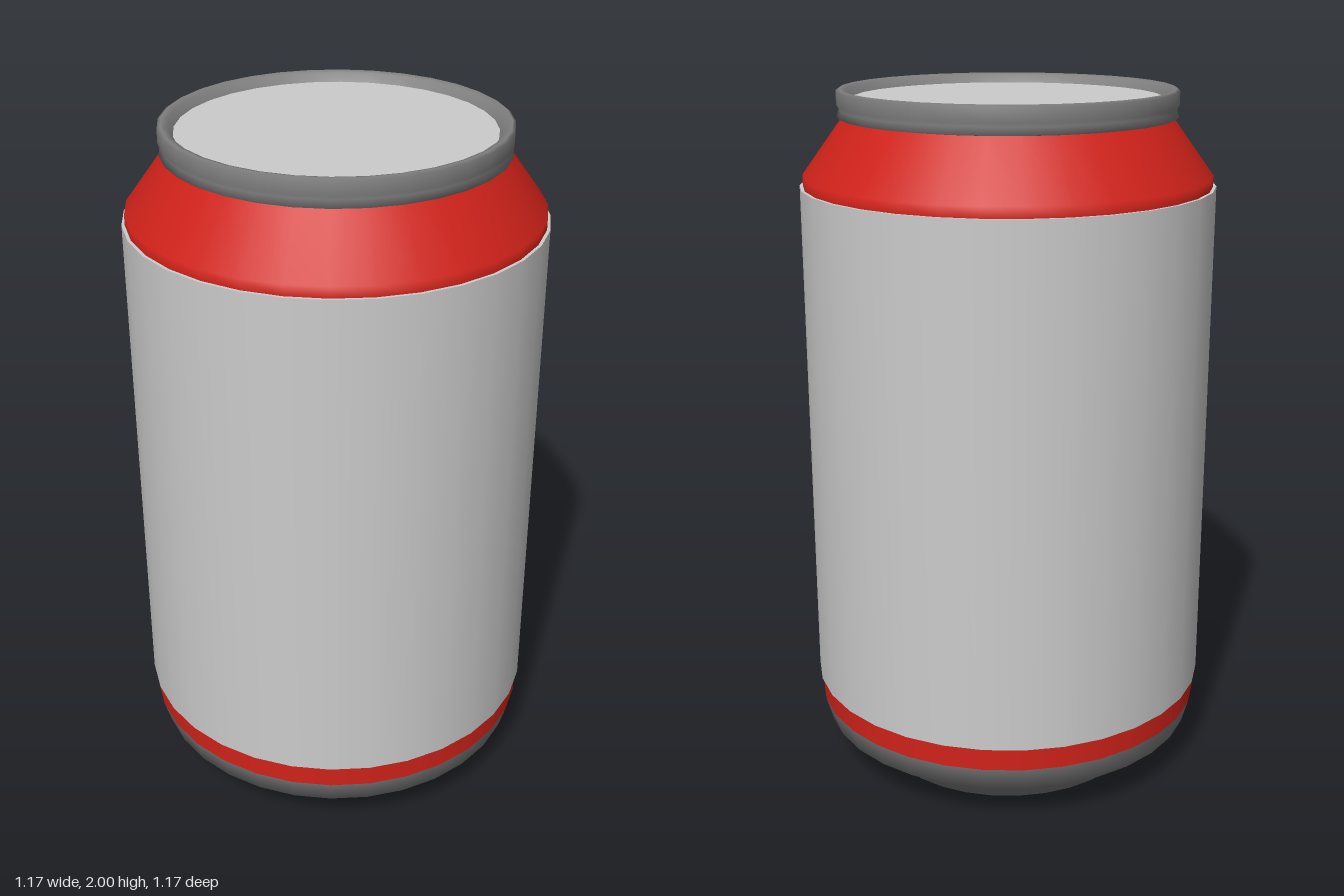
import * as THREE from 'three';

const SIDES = 32;

// Revolves a [radius, height] profile, listed from bottom to top, around y.
function turned(name, profile, color) {
  const points = profile.map(([r, y]) => new THREE.Vector2(r, y));
  const mesh = new THREE.Mesh(
    new THREE.LatheGeometry(points, SIDES),
    new THREE.MeshStandardMaterial({ color, side: THREE.DoubleSide })
  );
  mesh.name = name;
  return mesh;
}

export function createModel() {
  const can = new THREE.Group();
  can.name = 'drinkCan';
  const metal = 0x808080, red = 0xd0221a, grey = 0xcccccc;

  can.add(
    // stepped foot with closed underside
    turned('base', [[0, 0], [0.4, 0], [0.445, 0.06], [0.555, 0.12], [0.575, 0.19]], metal),
    turned('lowerBand', [[0.575, 0.19], [0.575, 0.258]], red),
    // label wrap, slightly proud of the can wall
    turned('labelWrap', [[0.584, 0.258], [0.584, 1.735]], grey),
    turned('labelLowerEdge', [[0.574, 0.258], [0.584, 0.258]], grey),
    turned('labelUpperEdge', [[0.584, 1.735], [0.574, 1.735]], grey),
    // short upright band and tapering neck
    turned('shoulder', [[0.575, 1.735], [0.575, 1.765], [0.46, 1.922]], red),
    // rolled rim
    turned('rim', [[0.455, 1.922], [0.474, 1.924], [0.468, 1.945], [0.475, 1.955],
      [0.475, 1.995], [0.466, 2], [0.45, 1.996], [0.433, 1.972]], metal)
  );

  // flat lid, set just below the rim
  const lid = new THREE.Mesh(
    new THREE.CircleGeometry(0.434, SIDES),
    new THREE.MeshStandardMaterial({ color: grey, side: THREE.DoubleSide })
  );
  lid.name = 'lid';
  lid.rotation.x = -Math.PI / 2;
  lid.position.y = 1.973;
  can.add(lid);

  return can;
}
